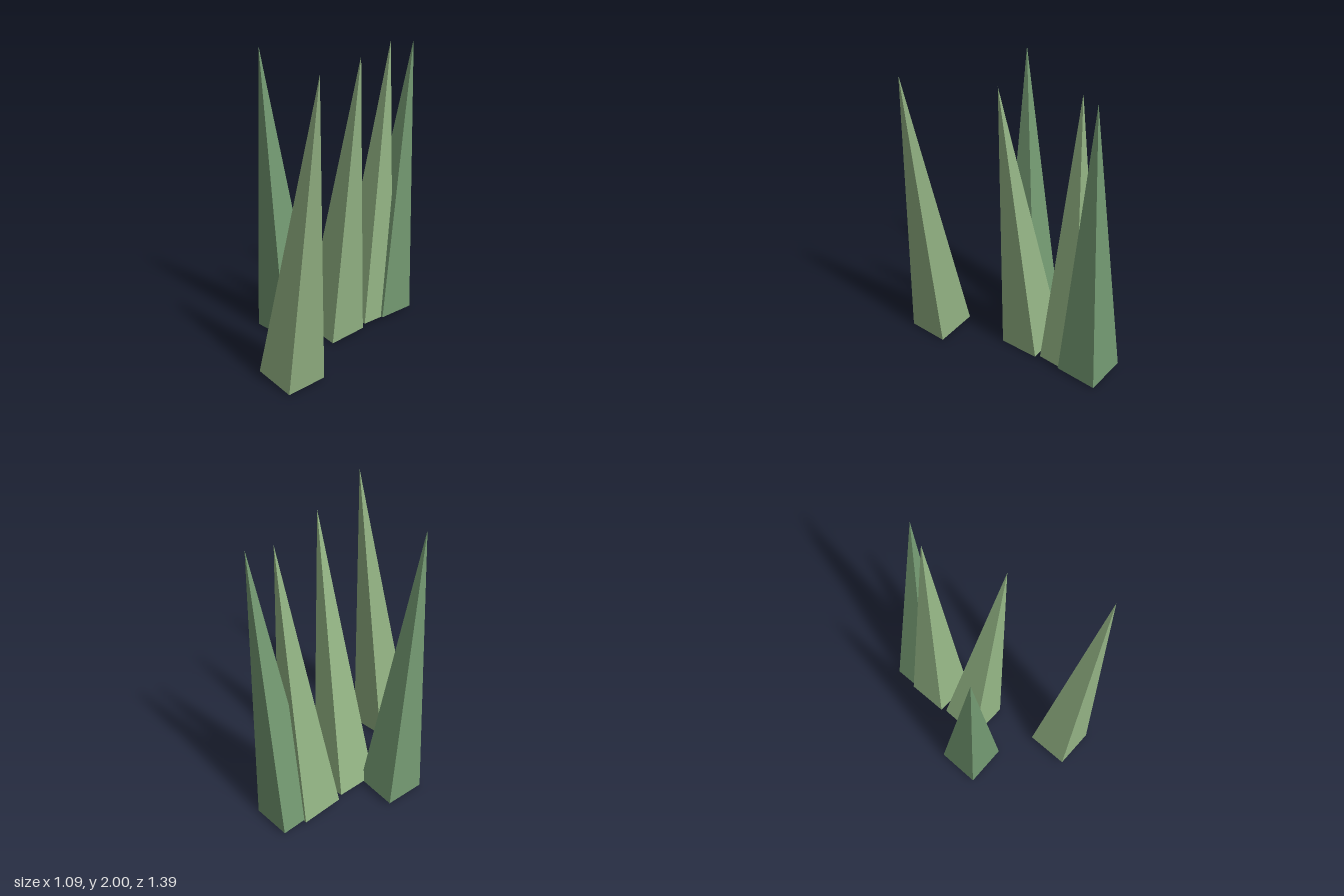
import * as THREE from 'three';

// Each blade: base centre x, z, tip x, z, colour
const BLADES = [
  [-0.258, 0.486, -0.06, 0.66, 0x8fae80],
  [-0.342, -0.18, -0.48, -0.145, 0x749a72],
  [-0.01, -0.146, 0.16, 0.092, 0x94b585],
  [0.209, -0.385, 0.353, -0.368, 0x94b585],
  [0.338, -0.49, 0.503, -0.425, 0x749a72],
];
const LENGTH = 1.98, RADIUS = 0.206, BASE_Y = 0.022;

export function createModel() {
  const group = new THREE.Group();
  group.name = 'grassTuft';

  // Four-sided spike with its base at the origin
  const spike = new THREE.ConeGeometry(RADIUS, LENGTH, 4).translate(0, LENGTH / 2, 0);
  const up = new THREE.Vector3(0, 1, 0);

  BLADES.forEach(([x, z, tipX, tipZ, color], i) => {
    const material = new THREE.MeshStandardMaterial({ color, flatShading: true });
    const blade = new THREE.Mesh(spike, material);
    blade.name = `grassBlade${i + 1}`;
    blade.position.set(x, BASE_Y, z);
    // Lean the blade towards its tip
    const dx = tipX - x, dz = tipZ - z;
    const dy = Math.sqrt(LENGTH * LENGTH - dx * dx - dz * dz);
    blade.quaternion.setFromUnitVectors(up, new THREE.Vector3(dx, dy, dz).normalize());
    group.add(blade);
  });
  return group;
}
